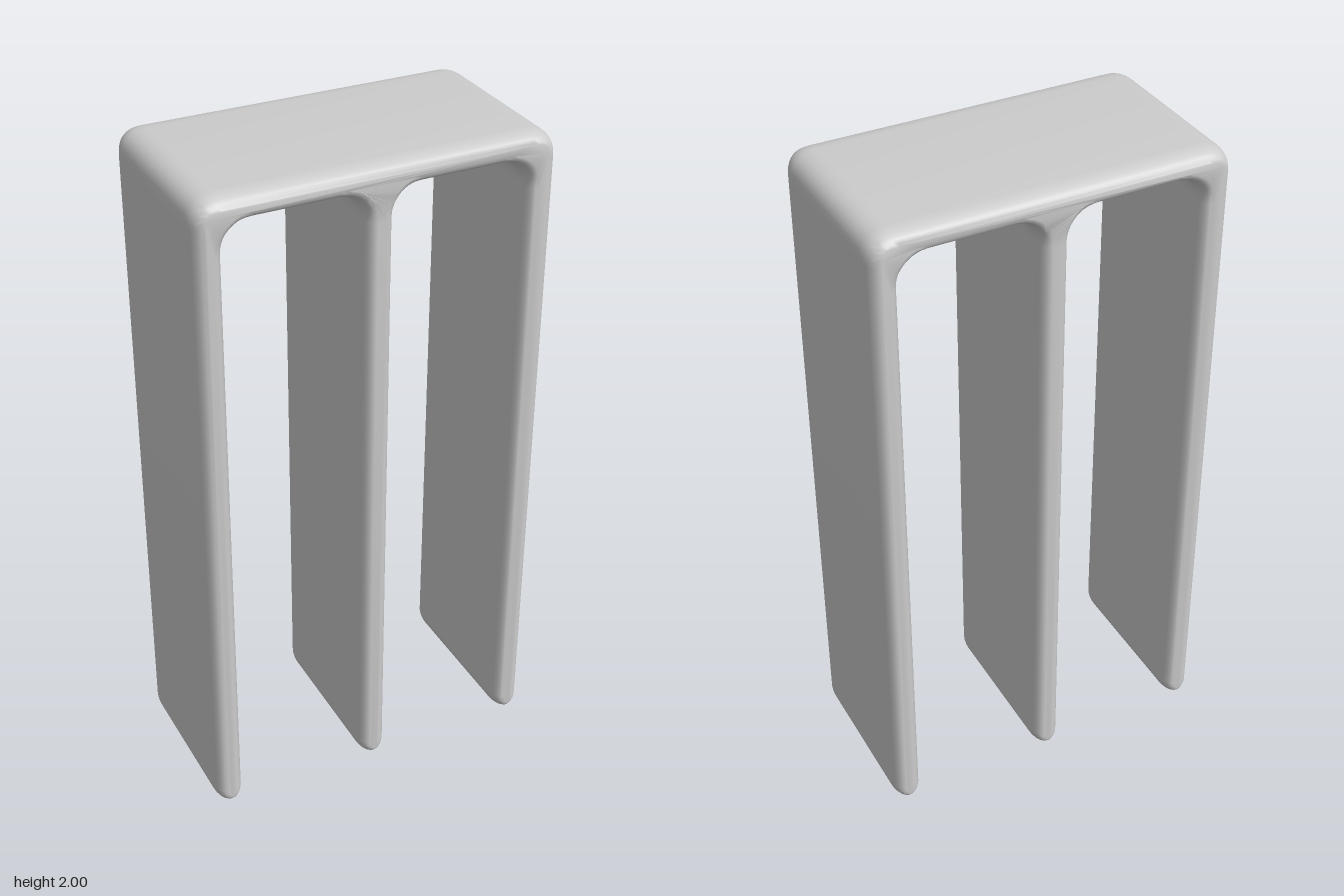
import * as THREE from 'three';
import { toCreasedNormals } from 'three/addons/utils/BufferGeometryUtils.js';

const HALF = 0.043;   // half thickness of a panel
const TIP = 0.055;    // height of the rounded panel foot
const UNDER = 1.92;   // underside of the top slab
const TOP = 2;
const FILLET = 0.08;
const DEPTH = 0.545;
const LEGS = [-0.482, 0, 0.482];

// Front outline: three panels hanging from one slab
function outline() {
  const s = new THREE.Shape();
  const left = LEGS[0] - HALF, right = LEGS[2] + HALF;
  s.moveTo(left, TIP);
  LEGS.forEach((x, i) => {
    if (i > 0) {
      s.lineTo(x - HALF - FILLET, UNDER);
      s.quadraticCurveTo(x - HALF, UNDER, x - HALF, UNDER - FILLET);
      s.lineTo(x - HALF, TIP);
    }
    s.absellipse(x, TIP, HALF, TIP, Math.PI, Math.PI * 2, false);
    if (i < 2) {
      s.lineTo(x + HALF, UNDER - FILLET);
      s.quadraticCurveTo(x + HALF, UNDER, x + HALF + FILLET, UNDER);
    }
  });
  s.lineTo(right, TOP - FILLET);
  s.quadraticCurveTo(right, TOP, right - FILLET, TOP);
  s.lineTo(left + FILLET, TOP);
  s.quadraticCurveTo(left, TOP, left, TOP - FILLET);
  s.lineTo(left, TIP);
  return s;
}

export function createModel() {
  const group = new THREE.Group();
  const grey = new THREE.MeshStandardMaterial({ color: 0xcccccc });
  grey.name = 'plain grey';

  const round = 0.06, inset = 0.03;
  const geo = new THREE.ExtrudeGeometry(outline(), {
    depth: DEPTH - 2 * round,
    bevelEnabled: true,
    bevelThickness: round,
    bevelSize: inset,
    bevelOffset: -inset,
    bevelSegments: 6,
    curveSegments: 10,
  });
  geo.translate(0, 0, -(DEPTH - 2 * round) / 2);

  // Slight swelling where each panel meets the slab
  const p = geo.attributes.position;
  for (let i = 0; i < p.count; i++) {
    const dy = (p.getY(i) - 1.94) / 0.06;
    let swell = 0;
    for (const x of LEGS) {
      const dx = (p.getX(i) - x * 0.96) / 0.06;
      swell += 0.01 * Math.exp(-dx * dx - dy * dy);
    }
    p.setZ(i, p.getZ(i) + Math.sign(p.getZ(i)) * swell);
  }

  const frame = new THREE.Mesh(toCreasedNormals(geo, 0.9), grey);
  frame.name = 'threePanelFrame';
  group.add(frame);
  return group;
}
